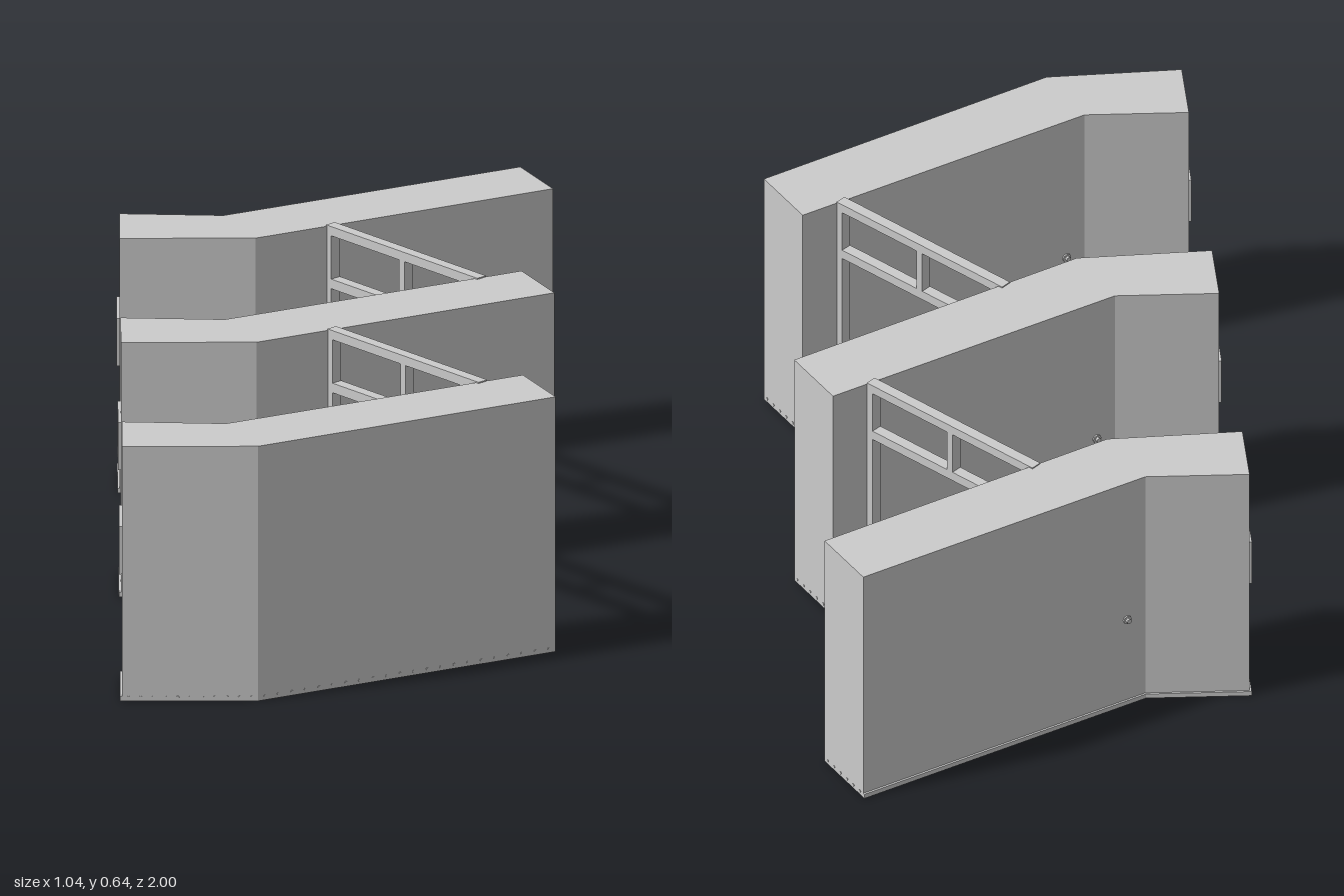
import * as THREE from 'three';

const MAT = new THREE.MeshStandardMaterial({ color: 0xcccccc, flatShading: true });
const H = 0.64;

// Plan corners [x, z], walking counterclockwise seen from above
const PLAN = [[-0.512, 0.998], [-0.19, 0.998], [0.517, 0.647], [0.44, 0.49], [-0.265, 0.835], [-0.512, 0.821]];

function add(parent, name, geometry, x = 0, y = 0, z = 0) {
  const m = new THREE.Mesh(geometry, MAT);
  m.name = name;
  m.position.set(x, y, z);
  parent.add(m);
  return m;
}

function box(parent, name, w, h, d, x, y, z) {
  return add(parent, name, new THREE.BoxGeometry(w, h, d), x, y, z);
}

// Upright prism from plan points
function prism(points, height) {
  const shape = new THREE.Shape(points.map(([x, z]) => new THREE.Vector2(x, -z)));
  return new THREE.ExtrudeGeometry(shape, { depth: height, bevelEnabled: false }).rotateX(-Math.PI / 2);
}

// Group whose x axis runs from a to b and whose z axis points outward
function along(parent, name, a, b) {
  const dx = b[0] - a[0], dz = b[1] - a[1];
  const g = new THREE.Group();
  g.name = name;
  g.position.set(a[0], 0, a[1]);
  g.rotation.y = Math.atan2(-dz, dx);
  g.userData.length = Math.hypot(dx, dz);
  parent.add(g);
  return g;
}

function disc(parent, name, r, depth, x, y, z) {
  return add(parent, name, new THREE.CylinderGeometry(r, r, depth, 8).rotateX(Math.PI / 2), x, y, z);
}

function boltRow(parent, count, y, z) {
  const len = parent.userData.length;
  for (let i = 0; i < count; i++) disc(parent, 'bolt', 0.0035, 0.002, len * (i + 0.5) / count, y, z);
}

function createWall() {
  const wall = new THREE.Group();
  wall.name = 'wall';
  add(wall, 'wallBody', prism(PLAN, H));

  // Base skirt along the back and the narrow end
  const skirt = [PLAN[0], [-0.517, 0.998], [-0.517, 0.816], [-0.266, 0.83], [0.438, 0.485], PLAN[3], PLAN[4], PLAN[5]];
  add(wall, 'baseSkirt', prism(skirt, 0.012));

  // Bolts low on the front faces and the wide end
  [11, 22, 6].forEach((n, i) => boltRow(along(wall, 'boltRow', PLAN[i], PLAN[i + 1]), n, 0.01, 0.0005));

  // Small knob on the back, beside the bend
  const back = along(wall, 'knob', PLAN[3], PLAN[4]);
  const kx = back.userData.length * 0.935;
  disc(back, 'knobPlate', 0.011, 0.004, kx, 0.245, 0.002);
  disc(back, 'knobStem', 0.006, 0.012, kx, 0.245, 0.006);

  // Vent panel on the narrow end: frame with a grid of raised blocks
  const vent = along(wall, 'ventPanel', PLAN[5], PLAN[0]);
  const cx = vent.userData.length / 2, cy = 0.375, w = 0.155, h = 0.12;
  for (const s of [-1, 1]) {
    box(vent, 'ventFrameRail', w, 0.008, 0.008, cx, cy + s * (h / 2 - 0.004), 0.003);
    box(vent, 'ventFrameStile', 0.008, h - 0.016, 0.008, cx + s * (w / 2 - 0.004), cy, 0.003);
  }
  for (let r = 0; r < 7; r++)
    for (let c = 0; c < 8; c++)
      box(vent, 'ventBlock', 0.011, 0.008, 0.006, cx + (c - 3.5) * 0.0165, cy + (r - 3) * 0.0135, 0.002);
  return wall;
}

// Open door frame with a divided transom, bridging two walls
function createFrame() {
  const root = new THREE.Group();
  root.name = 'doorFrame';
  const g = along(root, 'frameBars', [-0.012, -0.588], [0.345, -0.203]);
  const L = g.userData.length, d = 0.028;
  const rail = (name, y0, y1) => box(g, name, L, y1 - y0, d, L / 2, (y0 + y1) / 2, 0);
  const post = (name, x, w, y0, y1, depth = d) => box(g, name, w, y1 - y0, depth, x, (y0 + y1) / 2, 0);
  rail('bottomRail', 0, 0.065);
  rail('middleRail', 0.487, 0.511);
  rail('topRail', 0.62, 0.643);
  for (const x of [0.009, L - 0.009]) {
    post('jamb', x, 0.018, 0.065, 0.487);
    post('transomJamb', x, 0.018, 0.511, 0.62);
  }
  post('transomMullion', L / 2, 0.018, 0.511, 0.62);
  // Bolts on both sides of the bottom rail
  for (const s of [-1, 1]) {
    boltRow(g, 10, 0.02, s * (d / 2 + 0.0005));
    boltRow(g, 10, 0.046, s * (d / 2 + 0.0005));
  }
  return root;
}

export function createModel() {
  const model = new THREE.Group();
  model.name = 'wallUnits';
  const pitch = 0.745;
  for (let i = 0; i < 3; i++) {
    const wall = createWall();
    wall.position.z = -i * pitch;
    model.add(wall);
  }
  for (let i = 0; i < 2; i++) {
    const frame = createFrame();
    frame.position.z = i * pitch;
    model.add(frame);
  }
  return model;
}
